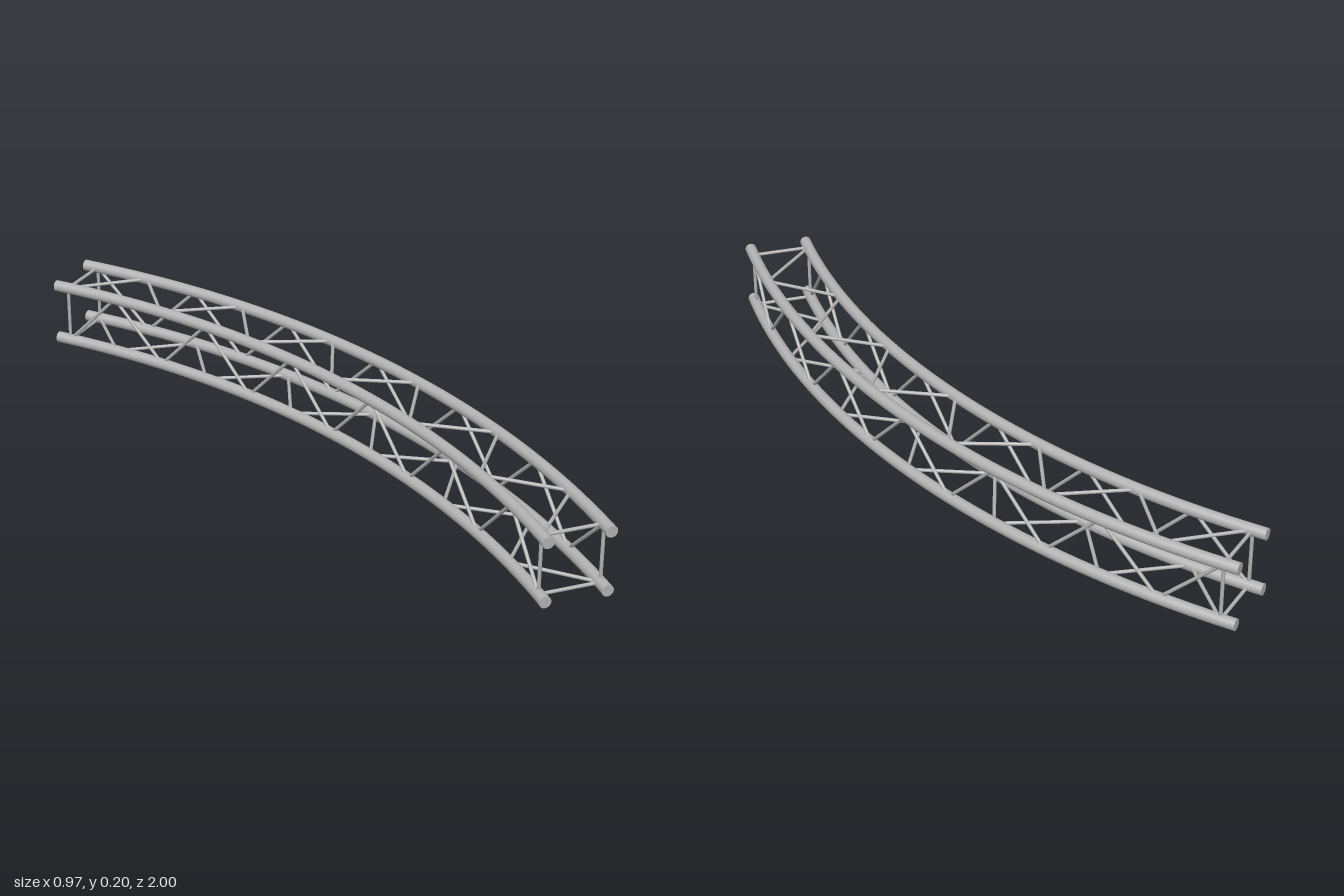
import * as THREE from 'three';

const CENTRE_X = -2.342, CENTRE_Z = 1;      // centre of the bend
const INNER = 2.641, OUTER = 2.811;         // chord radii
const LOW = 0.0165, HIGH = 0.1865;          // chord heights
const SWEEP = Math.PI / 4;
const CHORD_R = 0.0165, BRACE_R = 0.005;
const BAYS = 12, INSET = 0.0155;            // bracing bays, angle left free at each end

// Point on a chord at a given angle of the bend
const at = (r, y, a) => new THREE.Vector3(CENTRE_X + r * Math.cos(a), y, CENTRE_Z - r * Math.sin(a));

class ArcCurve extends THREE.Curve {
  constructor(r, y) { super(); this.r = r; this.y = y; }
  getPoint(t, target = new THREE.Vector3()) { return target.copy(at(this.r, this.y, t * SWEEP)); }
}

export function createModel() {
  const model = new THREE.Group();
  model.name = 'curvedTruss';
  const metal = new THREE.MeshStandardMaterial({ color: 0xb2b2b2 });
  metal.name = 'aluminium grey';

  const add = (parent, geometry, name) => {
    const mesh = new THREE.Mesh(geometry, metal);
    mesh.name = name;
    parent.add(mesh);
    return mesh;
  };

  // Four main chords with closed ends
  const addChord = (name, r, y) => {
    const chord = new THREE.Group();
    chord.name = name;
    add(chord, new THREE.TubeGeometry(new ArcCurve(r, y), 48, CHORD_R, 24), 'chordTube');
    const cap = new THREE.CircleGeometry(CHORD_R, 24);
    add(chord, cap, 'frontCap').position.copy(at(r, y, 0));
    const back = add(chord, cap, 'backCap');
    back.position.copy(at(r, y, SWEEP));
    back.rotation.y = Math.PI + SWEEP;
    model.add(chord);
  };
  addChord('innerLowerChord', INNER, LOW);
  addChord('innerUpperChord', INNER, HIGH);
  addChord('outerUpperChord', OUTER, HIGH);
  addChord('outerLowerChord', OUTER, LOW);

  // Thin round rod between two points
  const addRod = (parent, a, b, name) => {
    const dir = b.clone().sub(a);
    const rod = add(parent, new THREE.CylinderGeometry(BRACE_R, BRACE_R, dir.length(), 12, 1), name);
    rod.position.copy(a).add(b).multiplyScalar(0.5);
    rod.quaternion.setFromUnitVectors(new THREE.Vector3(0, 1, 0), dir.normalize());
  };

  // Each face zigzags from its first chord to its second, with a straight rung at both ends
  const faces = [
    ['innerBracing', [INNER, LOW], [INNER, HIGH]],
    ['upperBracing', [INNER, HIGH], [OUTER, HIGH]],
    ['outerBracing', [OUTER, HIGH], [OUTER, LOW]],
    ['lowerBracing', [OUTER, LOW], [INNER, LOW]],
  ];
  const nodeAngle = k => INSET + (SWEEP - 2 * INSET) * k / BAYS;
  for (const [name, first, second] of faces) {
    const face = new THREE.Group();
    face.name = name;
    for (let k = 0; k < BAYS; k++) {
      const [from, to] = k % 2 ? [second, first] : [first, second];
      addRod(face, at(...from, nodeAngle(k)), at(...to, nodeAngle(k + 1)), 'diagonal');
    }
    for (const k of [0, BAYS]) {
      addRod(face, at(...first, nodeAngle(k)), at(...second, nodeAngle(k)), 'endRung');
    }
    model.add(face);
  }
  return model;
}
